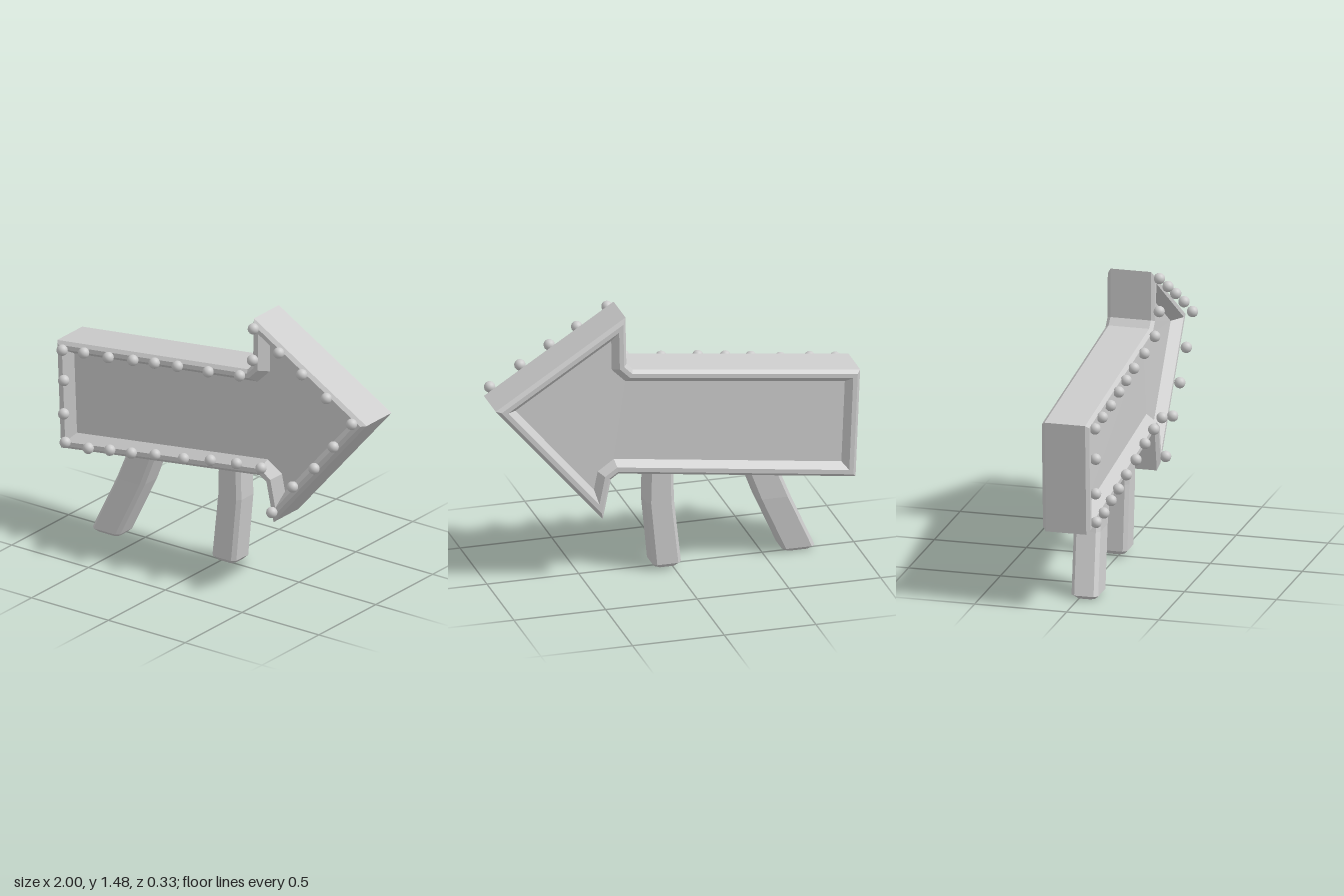
import * as THREE from 'three';

const material = new THREE.MeshStandardMaterial({ color: 0xcccccc, flatShading: true });
const bulbMaterial = new THREE.MeshStandardMaterial({ color: 0xcccccc });

// Skin a closed solid through matching rings; 'flat' is the 2D contour used to triangulate both caps
function loft(rings, flat) {
  const pos = [];
  const tri = (...pts) => pts.forEach((p) => pos.push(p.x, p.y, p.z));
  for (let r = 0; r < rings.length - 1; r++) {
    const a = rings[r], b = rings[r + 1];
    for (let i = 0; i < a.length; i++) {
      const j = (i + 1) % a.length;
      tri(a[i], b[i], a[j]);
      tri(a[j], b[i], b[j]);
    }
  }
  const first = rings[0], last = rings[rings.length - 1];
  for (const [a, b, c] of THREE.ShapeUtils.triangulateShape(flat, [])) {
    tri(first[a], first[b], first[c]);
    tri(last[a], last[c], last[b]);
  }
  const geo = new THREE.BufferGeometry();
  geo.setAttribute('position', new THREE.Float32BufferAttribute(pos, 3));
  geo.computeVertexNormals();
  return geo;
}

// Mitred inward offset of a counter-clockwise outline
function inset(points, d) {
  const n = points.length;
  return points.map((p, i) => {
    const u = p.clone().sub(points[(i + n - 1) % n]).normalize();
    const v = points[(i + 1) % n].clone().sub(p).normalize();
    const n1 = new THREE.Vector2(-u.y, u.x), n2 = new THREE.Vector2(-v.y, v.x);
    const m = n1.clone().add(n2);
    return p.clone().addScaledVector(m, d / (1 + n1.dot(n2)));
  });
}

const OUTLINE = [
  [-0.975, 0.425], [0.32, 0.597], [0.36, 0.57], [0.405, 0.35], [0.995, 1.04],
  [0.28, 1.48], [0.275, 1.215], [0.24, 1.18], [-1, 1.03],
].map(([x, y]) => new THREE.Vector2(x, y));

// Inset and depth of each ring, from front panel over the rim to back panel
const SECTION = [
  [0.078, 0.06], [0.042, 0.118], [0.018, 0.118], [0, 0.1],
  [0, -0.12], [0.018, -0.14], [0.042, -0.14], [0.075, -0.1],
];

function signBoard() {
  const rings = SECTION.map(([d, z]) => inset(OUTLINE, d).map((p) => {
    // the arrow head bends slightly backwards towards its tip
    const bend = 0.025 * Math.max(0, (p.x - 0.28) / 0.7);
    return new THREE.Vector3(p.x, p.y, z - bend);
  }));
  return loft(rings, inset(OUTLINE, SECTION[0][0]));
}

// Leg with chamfered corners; stations are [x, y, z, width, depth] from top to foot
function leg(stations) {
  const section = (w, d, c) => [
    [w - c, -d], [w, -d + c], [w, d - c], [w - c, d],
    [-w + c, d], [-w, d - c], [-w, -d + c], [-w + c, -d],
  ];
  const rings = stations.map(([x, y, z, w, d]) =>
    section(w / 2, d / 2, 0.02).map(([a, b]) => new THREE.Vector3(x + a, y, z - b)));
  return loft(rings, rings[0].map((p) => new THREE.Vector2(p.x, -p.z)));
}

// Bulb centres around the rim
const BULBS = [
  [-0.94, 1.0], [-0.8, 1.02], [-0.64, 1.035], [-0.48, 1.06], [-0.34, 1.08], [-0.19, 1.1],
  [0.01, 1.12], [0.215, 1.15], [0.3, 1.26], [0.305, 1.44], [0.47, 1.345], [0.62, 1.26],
  [0.78, 1.165], [0.945, 1.06], [0.825, 0.9], [0.7, 0.745], [0.56, 0.605], [0.425, 0.425],
  [0.355, 0.66], [0.195, 0.645], [0.025, 0.62], [-0.15, 0.585], [-0.335, 0.56],
  [-0.49, 0.53], [-0.63, 0.51], [-0.77, 0.485], [-0.92, 0.48], [-0.93, 0.64], [-0.93, 0.83],
];

export function createModel() {
  const model = new THREE.Group();
  model.name = 'arrowSign';
  const add = (name, geometry, mat = material) => {
    const mesh = new THREE.Mesh(geometry, mat);
    mesh.name = name;
    model.add(mesh);
    return mesh;
  };

  add('arrowBoard', signBoard());

  // Two bent legs, each with a bevelled foot
  add('tailLeg', leg([
    [-0.475, 0.52, 0, 0.175, 0.145], [-0.55, 0.33, 0.005, 0.18, 0.145],
    [-0.69, 0.02, 0.032, 0.18, 0.145], [-0.69, 0, 0.032, 0.14, 0.105],
  ]));
  add('headLeg', leg([
    [0.075, 0.62, -0.018, 0.14, 0.145], [0.076, 0.39, -0.018, 0.15, 0.145],
    [0.04, 0.035, -0.018, 0.155, 0.145], [0.04, 0.013, -0.018, 0.115, 0.105],
  ]));

  // Round bulbs on the front rim
  const bulbGeometry = new THREE.SphereGeometry(0.03, 16, 12);
  const bulbs = new THREE.Group();
  bulbs.name = 'bulbs';
  for (const [x, y] of BULBS) {
    const bulb = new THREE.Mesh(bulbGeometry, bulbMaterial);
    bulb.name = 'bulb';
    bulb.position.set(x, y, 0.138);
    bulbs.add(bulb);
  }
  model.add(bulbs);
  return model;
}
